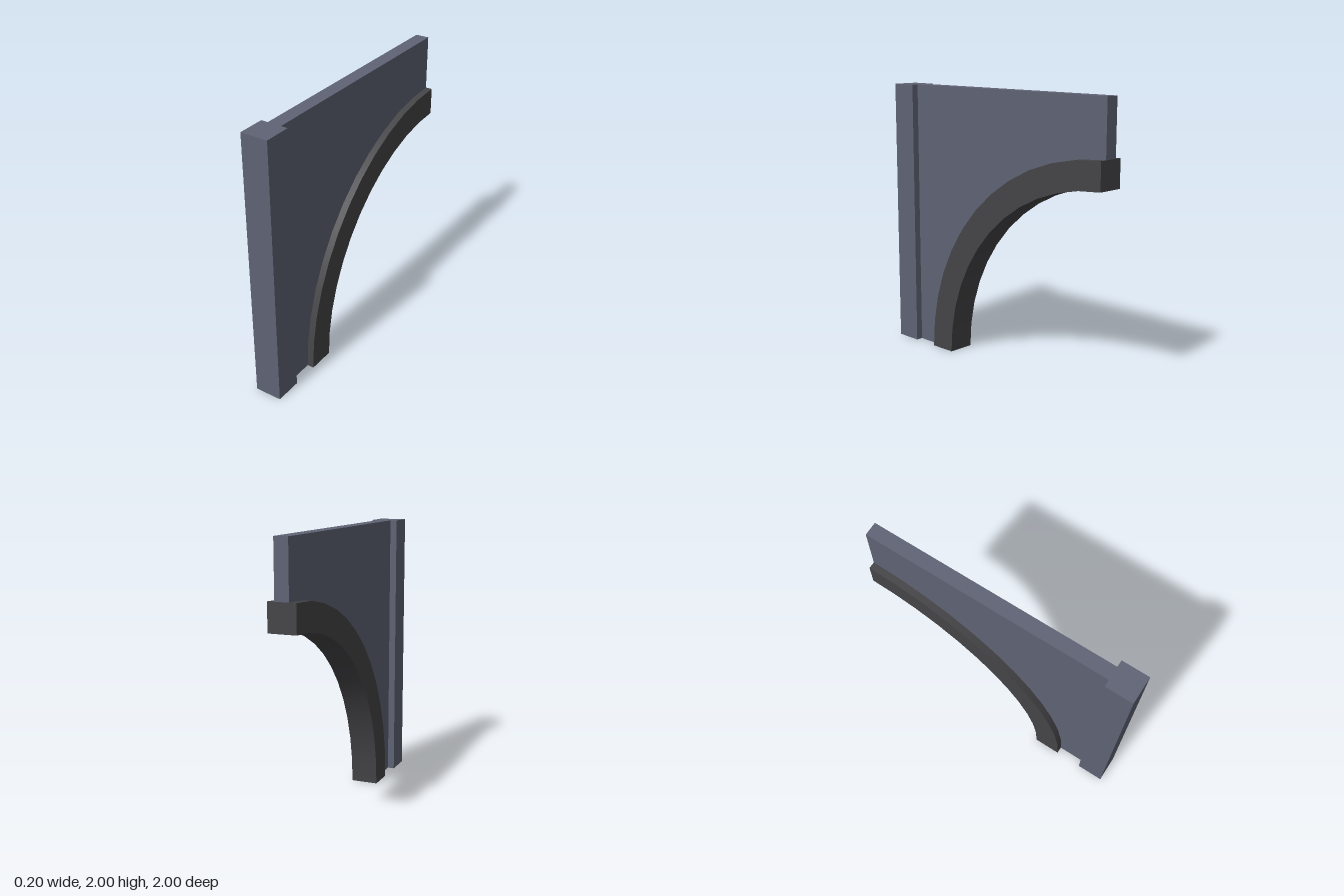
import * as THREE from 'three';
import { toCreasedNormals } from 'three/addons/utils/BufferGeometryUtils.js';

const SEGMENTS = 12;
const OUTER = 1.6;
const INNER = 1.4;

// Quarter-circle points around (z = -1, y = 0), from the floor up to the crown
function quarterArc(radius) {
  return Array.from({ length: SEGMENTS + 1 }, (_, i) => {
    const a = (i / SEGMENTS) * Math.PI / 2;
    return new THREE.Vector2(-1 + radius * Math.cos(a), radius * Math.sin(a));
  });
}

// Extrudes a (z, y) outline across x, centred on x = 0
function slab(name, points, width, material) {
  const geometry = new THREE.ExtrudeGeometry(new THREE.Shape(points), { depth: width, bevelEnabled: false });
  geometry.translate(0, 0, -width / 2).rotateY(-Math.PI / 2);
  const mesh = new THREE.Mesh(toCreasedNormals(geometry, 0.4), material);
  mesh.name = name;
  return mesh;
}

export function createModel() {
  const stone = new THREE.MeshStandardMaterial({ color: 0x5f6374 });
  stone.name = 'blue grey stone';
  const trim = new THREE.MeshStandardMaterial({ color: 0x454447 });
  trim.name = 'dark grey trim';

  const group = new THREE.Group();
  group.name = 'archWallHalf';

  // Upright post at the front
  const post = new THREE.Mesh(new THREE.BoxGeometry(0.2, 2, 0.2), stone);
  post.name = 'post';
  post.position.set(0, 1, 0.9);

  // Thin wall panel filling the space above the arch
  const panel = slab('wallPanel', [
    ...quarterArc(OUTER),
    new THREE.Vector2(-1, 2),
    new THREE.Vector2(0.8, 2),
    new THREE.Vector2(0.8, 0),
  ], 0.1, stone);

  // Curved arch band
  const arch = slab('archBand', [...quarterArc(OUTER), ...quarterArc(INNER).reverse()], 0.2, trim);

  group.add(post, panel, arch);
  return group;
}
